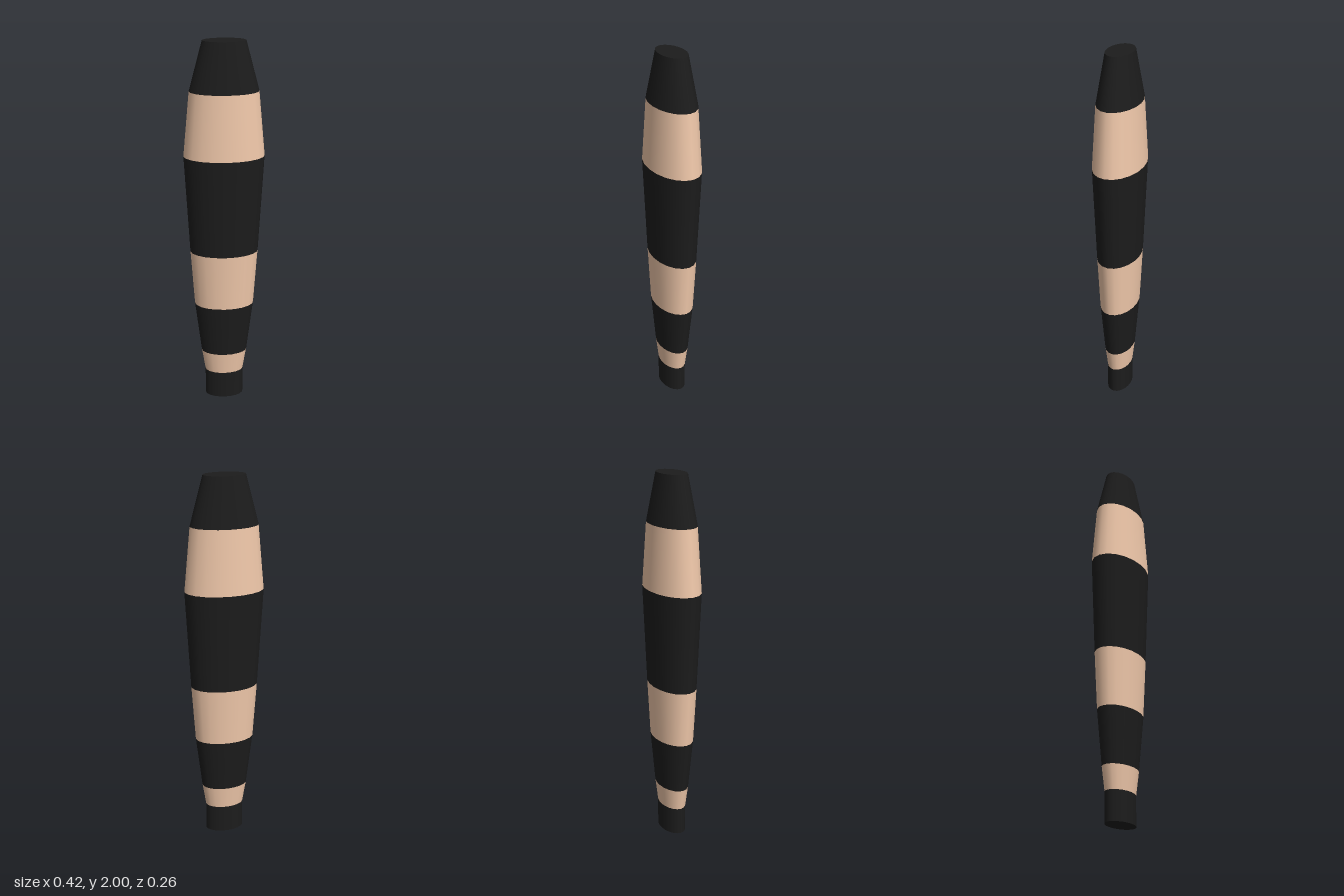
import * as THREE from 'three';

const SIDES = 20;
const DEPTH = 0.615; // oval cross-section: depth over width

export function createModel() {
  const group = new THREE.Group();
  group.name = 'taperedClub';
  const dark = new THREE.MeshStandardMaterial({ color: 0x1c1c1c });
  const pale = new THREE.MeshStandardMaterial({ color: 0xf0c8aa });

  // Height and half-width at each band boundary, from the base up
  const rings = [
    [0, 0.105], [0.155, 0.105], [0.278, 0.125], [0.57, 0.16],
    [0.88, 0.181], [1.41, 0.21], [1.747, 0.178], [2, 0.11],
  ];
  const names = ['baseBand', 'lowerPaleBand', 'lowerDarkBand', 'middlePaleBand',
    'middleDarkBand', 'upperPaleBand', 'topBand'];

  // Alternating dark and pale bands; only the two ends are capped
  names.forEach((name, i) => {
    const [y0, r0] = rings[i];
    const [y1, r1] = rings[i + 1];
    const isEnd = i === 0 || i === names.length - 1;
    const geometry = new THREE.CylinderGeometry(r1, r0, y1 - y0, SIDES, 1, !isEnd);
    geometry.scale(1, 1, DEPTH);
    const band = new THREE.Mesh(geometry, i % 2 ? pale : dark);
    band.name = name;
    band.position.y = (y0 + y1) / 2;
    group.add(band);
  });
  return group;
}
